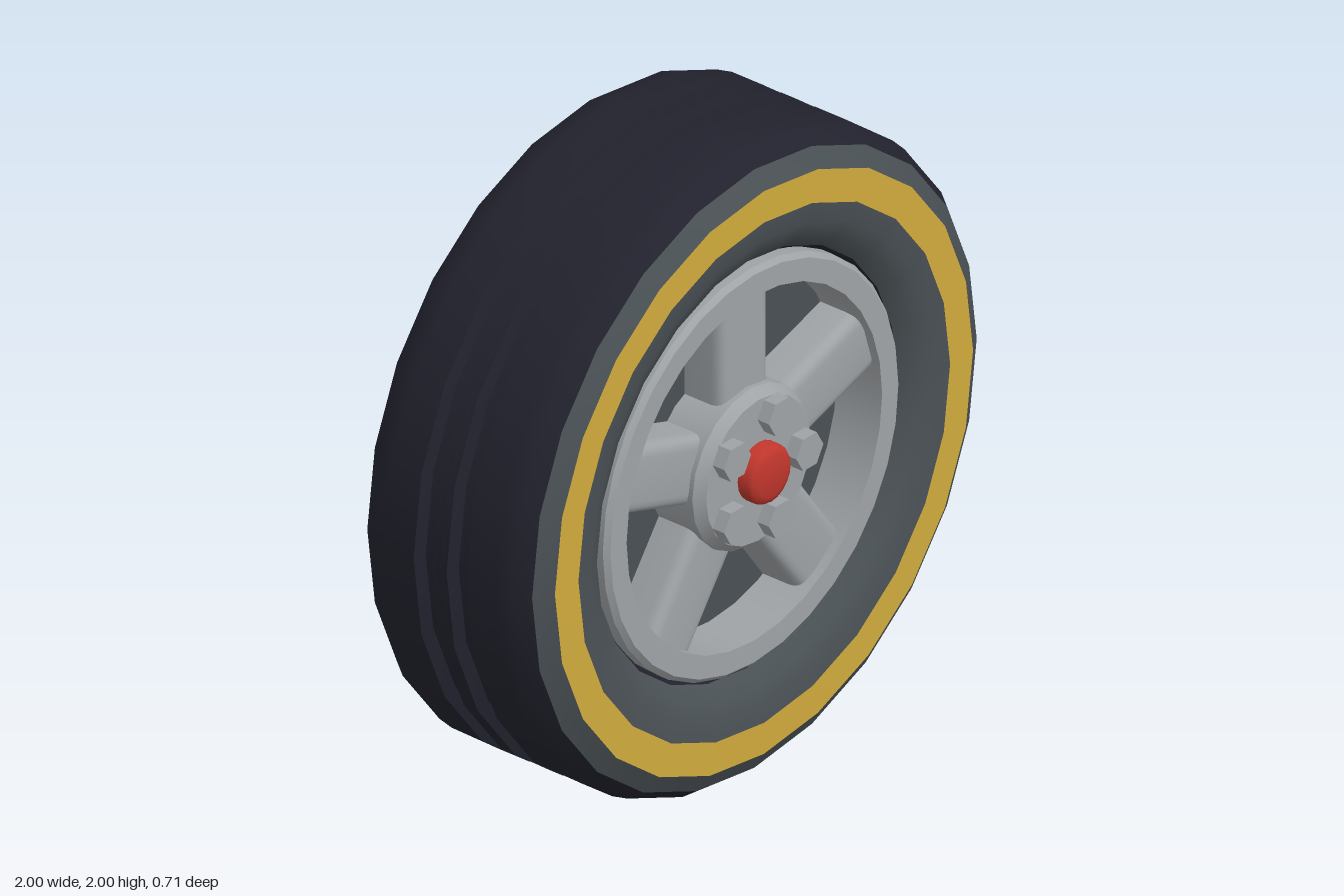
import * as THREE from 'three';
import { toCreasedNormals } from 'three/addons/utils/BufferGeometryUtils.js';

const material = (name, color) => {
  const m = new THREE.MeshStandardMaterial({ color });
  m.name = name;
  return m;
};

export function createModel() {
  const rubber = material('tread rubber', 0x22222e);
  const wall = material('sidewall grey', 0x495054);
  const yellow = material('stripe yellow', 0xcfaa3c);
  const metal = material('rim metal', 0x9fa3a6);
  const red = material('cap red', 0xc0362c);

  const wheel = new THREE.Group();
  wheel.name = 'wheel';
  wheel.position.y = 1;

  const add = (name, geometry, mat, parent = wheel) => {
    const mesh = new THREE.Mesh(geometry, mat);
    mesh.name = name;
    parent.add(mesh);
    return mesh;
  };

  // Surface of revolution about z from [radius, z] pairs
  const turned = (points, sides, crease = 0.6) => {
    const g = new THREE.LatheGeometry(points.map(([r, z]) => new THREE.Vector2(r, z)), sides);
    g.rotateX(Math.PI / 2);
    return toCreasedNormals(g, crease);
  };

  // Tyre bands, mirrored about the tyre's middle plane
  const tyre = new THREE.Group();
  tyre.name = 'tyre';
  tyre.position.z = -0.015;
  wheel.add(tyre);
  const band = (name, points, mat) => {
    const back = points.map(([r, z]) => [r, -z]).reverse();
    add(name + 'Front', turned(points, 24), mat, tyre);
    add(name + 'Back', turned(back, 24), mat, tyre);
  };
  band('tread', [[1, 0], [1, 0.025], [0.96, 0.035], [0.96, 0.085], [1, 0.095],
    [1, 0.205], [0.99, 0.255], [0.957, 0.3]], rubber);
  band('shoulder', [[0.957, 0.3], [0.9, 0.335]], wall);
  band('stripe', [[0.9, 0.335], [0.8, 0.336]], yellow);
  band('sidewall', [[0.8, 0.336], [0.74, 0.33], [0.69, 0.31], [0.65, 0.27]], wall);
  band('bead', [[0.65, 0.27], [0.635, 0.24], [0.6, 0.2]], rubber);

  // Rim with lips on both sides and an open barrel
  add('rim', turned([[0.55, -0.33], [0.62, -0.33], [0.635, -0.315], [0.635, -0.25],
    [0.575, -0.22], [0.575, 0.2], [0.635, 0.23], [0.635, 0.27], [0.62, 0.285],
    [0.55, 0.285], [0.55, -0.33]], 32), metal);

  // Dark plate behind the spokes
  add('backPlate', new THREE.CylinderGeometry(0.56, 0.56, 0.02, 32).rotateX(Math.PI / 2), wall)
    .position.z = 0.11;

  // Spokes: rounded-front bars running out from the hub
  const w = 0.105, front = 0.255, r = 0.04;
  const section = new THREE.Shape();
  section.moveTo(-w, 0.11);
  section.lineTo(w, 0.11);
  section.lineTo(w, front - r);
  section.quadraticCurveTo(w, front, w - r, front);
  section.lineTo(-w + r, front);
  section.quadraticCurveTo(-w, front, -w, front - r);
  const spokeGeo = toCreasedNormals(
    new THREE.ExtrudeGeometry(section, { depth: 0.355, bevelEnabled: false, curveSegments: 4 })
      .translate(0, 0, 0.2).rotateX(Math.PI / 2), 0.6);

  // Hex bolts
  const boltGeo = toCreasedNormals(
    new THREE.CylinderGeometry(0.058, 0.058, 0.06, 6).rotateX(Math.PI / 2).rotateZ(Math.PI / 6), 0.5);

  for (let i = 0; i < 5; i++) {
    const a = (i * Math.PI * 2) / 5;
    add('spoke', spokeGeo, metal).rotation.z = Math.PI + a;
    add('bolt', boltGeo, metal).position.set(0.172 * Math.cos(a), 0.172 * Math.sin(a), 0.312);
  }

  // Hub and centre cap
  add('hub', turned([[0.25, 0.11], [0.25, 0.27], [0.225, 0.3], [0, 0.3]], 20), metal);
  add('centreCap', turned([[0.09, 0.29], [0.09, 0.335], [0.083, 0.347], [0.065, 0.354],
    [0, 0.356]], 20, 0.8), red);

  const model = new THREE.Group();
  model.name = 'model';
  model.add(wheel);
  return model;
}
